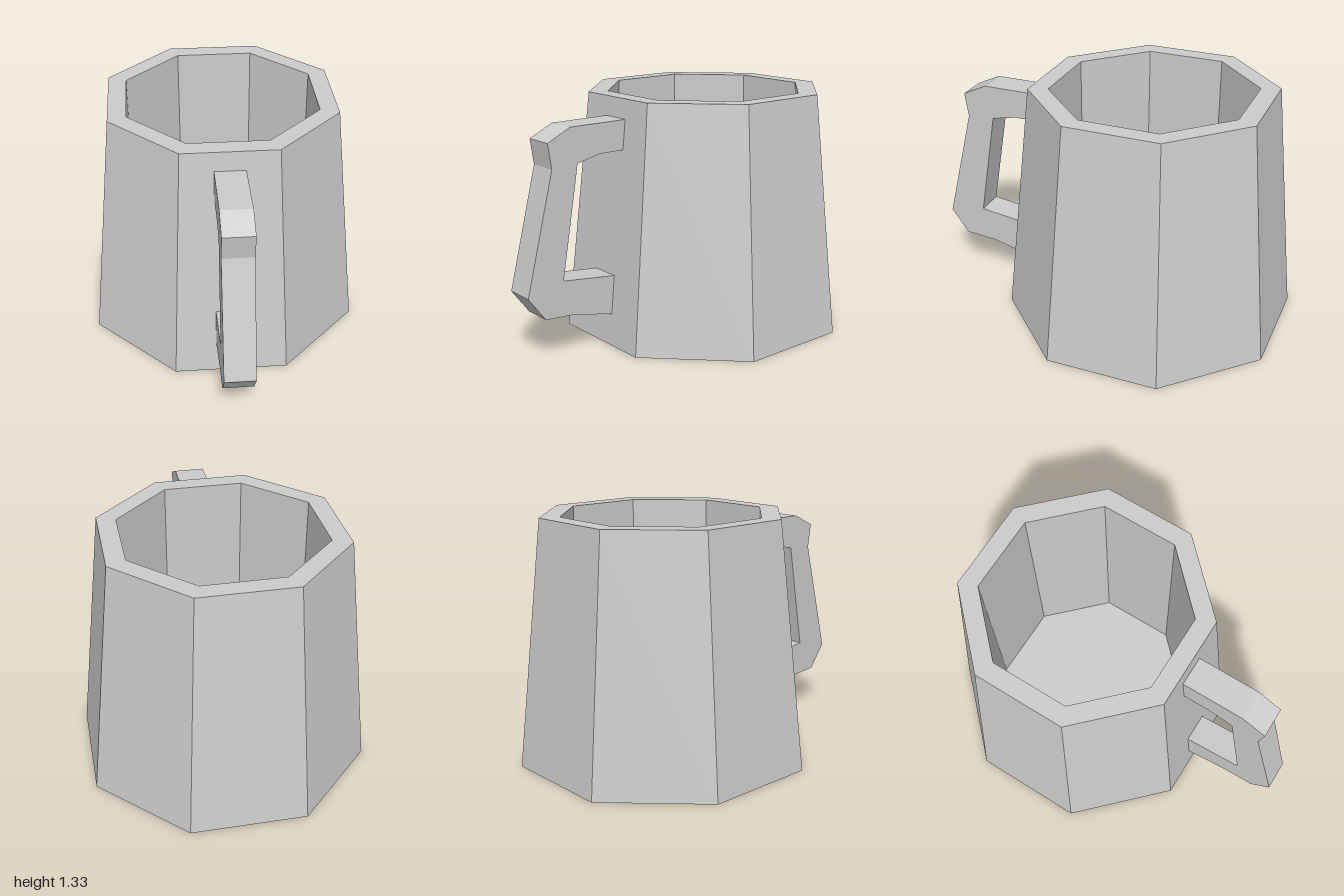
import * as THREE from 'three';

const SIDES = 8;
const HEIGHT = 1.33;
const material = new THREE.MeshStandardMaterial({ color: 0xcccccc, flatShading: true });

// Corner radius of an octagon, from the distance to its flat sides
const corner = (flat) => flat / Math.cos(Math.PI / SIDES);
const points = (list) => list.map(([a, b]) => new THREE.Vector2(a, b));

// Tapered octagonal cup with straight inner walls and a closed floor
function createCup() {
  const profile = points([
    [0, 0],
    [corner(0.75), 0],
    [corner(0.615), HEIGHT],
    [corner(0.515), HEIGHT],
    [corner(0.515), 0.1],
    [0, 0.1],
  ]);
  const cup = new THREE.Mesh(new THREE.LatheGeometry(profile, SIDES, Math.PI / SIDES), material);
  cup.name = 'cup';
  cup.position.z = -0.25;
  return cup;
}

// Angular handle: side outline (z, y) extruded across x, ends set into the wall
function createHandle() {
  const width = 0.164;
  const outline = new THREE.Shape(points([
    [0.365, 1.225], [0.72, 1.225], [0.855, 1.16], [0.835, 1.025],
    [1.0, 0.38], [0.9, 0.245], [0.72, 0.23], [0.475, 0.17],
    [0.455, 0.387], [0.785, 0.43], [0.68, 1.035], [0.54, 1.065], [0.38, 1.065],
  ]));
  const geometry = new THREE.ExtrudeGeometry(outline, { depth: width, bevelEnabled: false });
  geometry.translate(0, 0, -width / 2).rotateY(-Math.PI / 2);
  const handle = new THREE.Mesh(geometry, material);
  handle.name = 'handle';
  return handle;
}

export function createModel() {
  const mug = new THREE.Group();
  mug.name = 'mug';
  mug.add(createCup(), createHandle());
  return mug;
}
